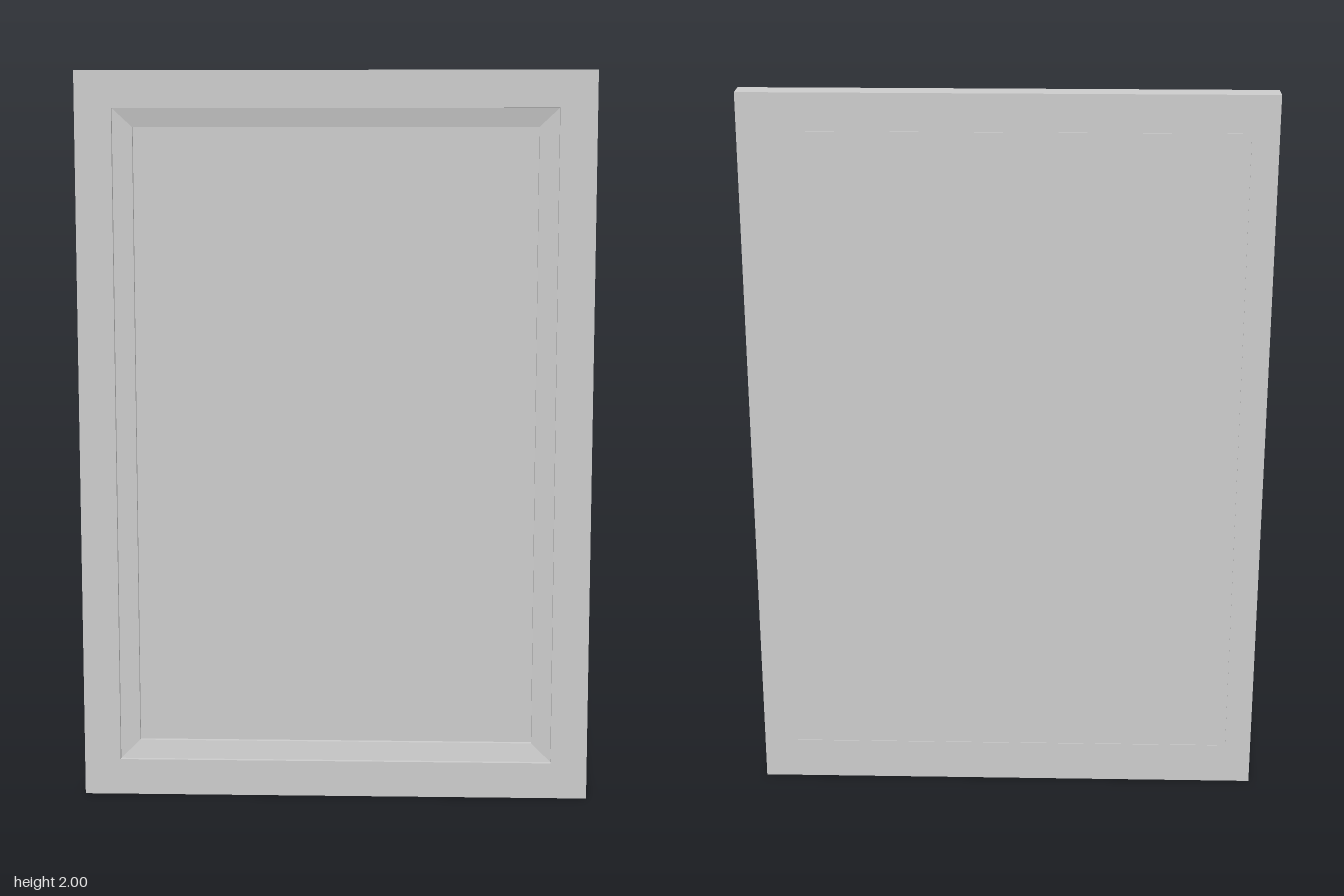
import * as THREE from 'three';

const material = new THREE.MeshStandardMaterial({ color: 0xcccccc, flatShading: true });
const HALF_DEPTH = 0.032;

function addMesh(group, name, geometry, x = 0, y = 0, z = 0) {
  const mesh = new THREE.Mesh(geometry, material);
  mesh.name = name;
  mesh.position.set(x, y, z);
  group.add(mesh);
  return mesh;
}

// Counter-clockwise rectangle centred on the door
function rectangle(halfW, halfH) {
  return [[-halfW, -halfH], [halfW, -halfH], [halfW, halfH], [-halfW, halfH]]
    .map(([x, y]) => new THREE.Vector2(x, y));
}

// Mitred strips joining successive rectangles, given as [halfW, halfH, z] from outside in
function mitredRing(profile) {
  const positions = [];
  const loops = profile.map(([w, h, z]) => rectangle(w, h).map((p) => [p.x, p.y, z]));
  for (let i = 0; i < loops.length - 1; i++) {
    for (let k = 0; k < 4; k++) {
      const n = (k + 1) % 4;
      const [a, b, c, d] = [loops[i][k], loops[i][n], loops[i + 1][n], loops[i + 1][k]];
      positions.push(...a, ...b, ...c, ...a, ...c, ...d);
    }
  }
  const geometry = new THREE.BufferGeometry();
  geometry.setAttribute('position', new THREE.Float32BufferAttribute(positions, 3));
  geometry.computeVertexNormals();
  return geometry;
}

export function createModel() {
  const door = new THREE.Group();
  door.name = 'panelDoor';

  // Outer frame with a rectangular opening
  const outline = new THREE.Shape(rectangle(0.7, 1));
  outline.holes.push(new THREE.Path(rectangle(0.6, 0.9).reverse()));
  const frame = new THREE.ExtrudeGeometry(outline, { depth: 2 * HALF_DEPTH, bevelEnabled: false });
  addMesh(door, 'frame', frame, 0, 1, -HALF_DEPTH);

  // Recessed panel filling the opening, flush with the back
  const panelFront = -0.004;
  const thickness = panelFront + HALF_DEPTH;
  addMesh(door, 'panel', new THREE.BoxGeometry(1.2, 1.8, thickness), 0, 1, panelFront - thickness / 2);

  // Sloping moulding with a small step down to the panel
  addMesh(door, 'moulding', mitredRing([
    [0.6, 0.9, 0.019],
    [0.547, 0.85, 0.009],
    [0.547, 0.85, panelFront],
  ]), 0, 1);

  // Slim ridges standing just proud of the back
  const proud = 0.002;
  const backZ = -HALF_DEPTH - proud / 2;
  for (const y of [0.107, 1.89]) {
    addMesh(door, 'backRidge', new THREE.BoxGeometry(1.21, 0.02, proud), 0, y, backZ);
  }
  addMesh(door, 'backSideRidge', new THREE.BoxGeometry(0.004, 1.77, proud), -0.63, 1.012, backZ);

  return door;
}
